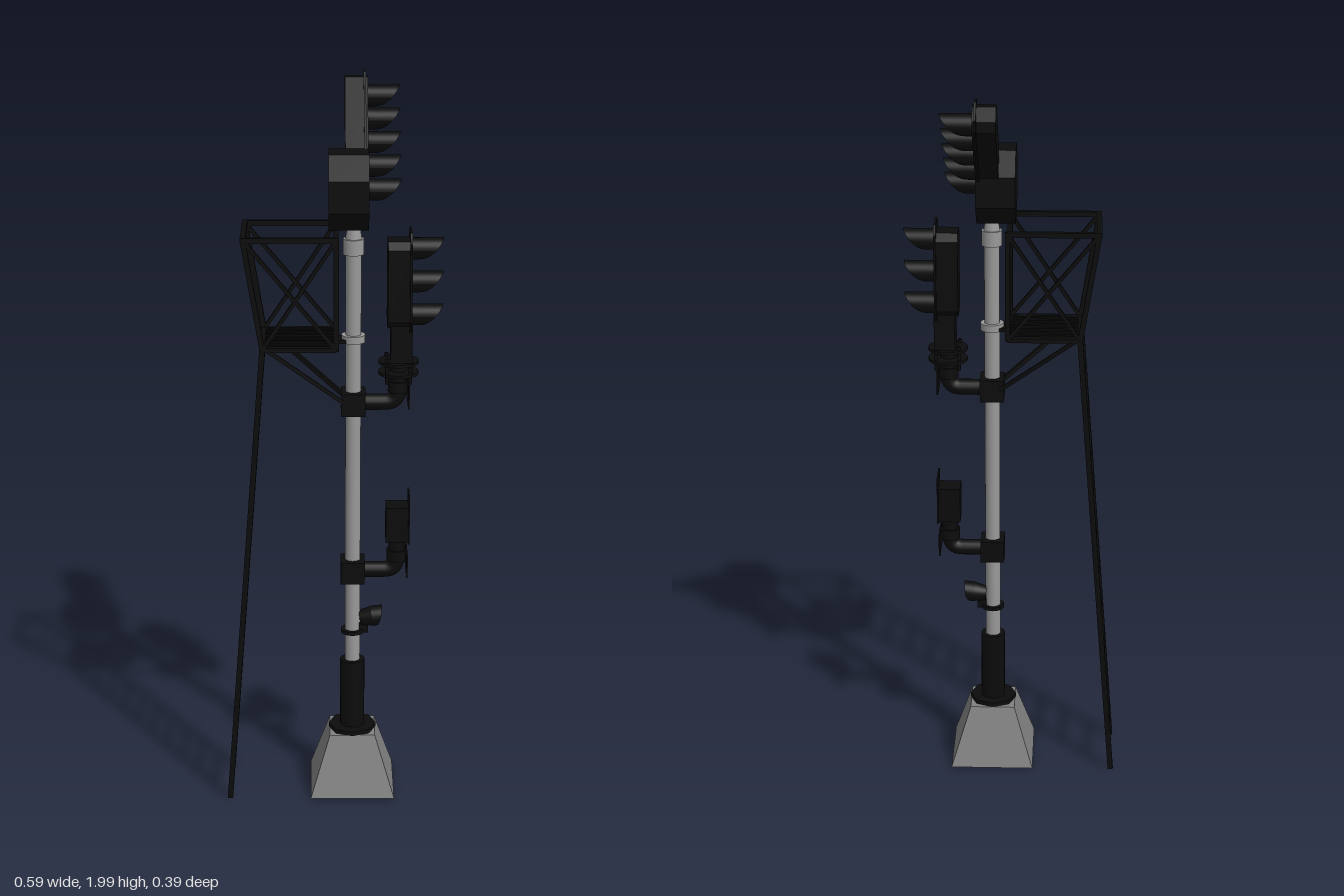
import * as THREE from 'three';

const black = new THREE.MeshStandardMaterial({ color: 0x0c0c0c });
const blackThin = new THREE.MeshStandardMaterial({ color: 0x0c0c0c, side: THREE.DoubleSide });
const steel = new THREE.MeshStandardMaterial({ color: 0x999999 });
const concrete = new THREE.MeshStandardMaterial({ color: 0x808080, flatShading: true });
const glass = new THREE.MeshStandardMaterial({ color: 0xcccccc });

const PX = 0.056, PZ = 0.083; // pole axis
const HX = 0.177;             // axis of the side-mounted units

function add(parent, name, geo, mat, x = 0, y = 0, z = 0) {
  const m = new THREE.Mesh(geo, mat);
  m.name = name;
  m.position.set(x, y, z);
  parent.add(m);
  return m;
}

const box = (parent, name, w, h, d, x, y, z, mat = black) =>
  add(parent, name, new THREE.BoxGeometry(w, h, d), mat, x, y, z);

// Upright cylinder between two heights
const post = (parent, name, r0, r1, y0, y1, x, z, mat = black, sides = 20) =>
  add(parent, name, new THREE.CylinderGeometry(r1, r0, y1 - y0, sides), mat, x, (y0 + y1) / 2, z);

// Square bar between two points
function bar(parent, name, a, b, t = 0.014) {
  const p = new THREE.Vector3(...a), q = new THREE.Vector3(...b);
  const m = add(parent, name, new THREE.BoxGeometry(t, t, p.distanceTo(q)), black);
  m.position.copy(p).add(q).multiplyScalar(0.5);
  m.lookAt(q);
  return m;
}

// Panel with chamfered corners facing +x, from x0 to x1, spanning y0..y1
function panel(parent, name, w, y0, y1, c, x0, x1) {
  const h = w / 2;
  const s = new THREE.Shape([
    [-h + c, y0], [h - c, y0], [h, y0 + c], [h, y1 - c],
    [h - c, y1], [-h + c, y1], [-h, y1 - c], [-h, y0 + c],
  ].map(p => new THREE.Vector2(...p)));
  const g = new THREE.ExtrudeGeometry(s, { depth: x1 - x0, bevelEnabled: false });
  g.rotateY(Math.PI / 2);
  return add(parent, name, g, black, x0);
}

// Hood: tube along +x whose lower side is cut back
function visorGeometry(r, len) {
  const g = new THREE.CylinderGeometry(r, r, 1, 28, 8, true);
  g.rotateZ(-Math.PI / 2);
  const p = g.attributes.position;
  for (let i = 0; i < p.count; i++) {
    const k = Math.max(0, (p.getY(i) / r + 1) / 2);
    p.setX(i, (p.getX(i) + 0.5) * len * (0.1 + 0.9 * Math.pow(k, 0.45)));
  }
  g.computeVertexNormals();
  return g;
}

// Lens with its hood, facing +x
function lamp(parent, x, y, z, r = 0.029, len = 0.086) {
  const g = new THREE.Group();
  g.name = 'lamp';
  g.position.set(x, y, z);
  add(g, 'visor', visorGeometry(r, len), blackThin);
  const lens = add(g, 'lens', new THREE.CylinderGeometry(r * 0.64, r * 0.64, 0.008, 24), glass, 0.004);
  lens.rotation.z = Math.PI / 2;
  parent.add(g);
  return g;
}

// Clamp on the pole with a pipe that bends upward
function elbowBracket(parent, y, top) {
  const g = new THREE.Group();
  g.name = 'elbowBracket';
  box(g, 'clamp', 0.066, 0.062, 0.076, PX, y, PZ);
  const path = new THREE.CurvePath();
  const V = (x, yy) => new THREE.Vector3(x, yy, PZ);
  path.add(new THREE.LineCurve3(V(PX, y), V(HX - 0.035, y)));
  path.add(new THREE.QuadraticBezierCurve3(V(HX - 0.035, y), V(HX, y), V(HX, y + 0.035)));
  path.add(new THREE.LineCurve3(V(HX, y + 0.035), V(HX, top)));
  add(g, 'pipe', new THREE.TubeGeometry(path, 36, 0.022, 16), black);
  post(g, 'pipeSocket', 0.028, 0.028, y + 0.03, y + 0.06, HX, PZ);
  box(g, 'markerPlate', 0.004, 0.065, 0.122, 0.204, y + 0.03, PZ);
  parent.add(g);
}

export function createModel() {
  const model = new THREE.Group();

  // Foundation and pole
  const base = add(model, 'foundation',
    new THREE.CylinderGeometry(0.063 * Math.SQRT2, 0.117 * Math.SQRT2, 0.17, 4, 1).rotateY(Math.PI / 4),
    concrete, PX, 0.095, 0.08);
  base.scale.z = 1.0;
  post(model, 'basePlate', 0.066, 0.066, 0.18, 0.192, PX, PZ, black, 8);
  post(model, 'poleSleeve', 0.034, 0.034, 0.19, 0.39, PX, PZ);
  post(model, 'pole', 0.021, 0.021, 0.38, 1.6, PX, PZ, steel);
  post(model, 'poleCollar', 0.028, 0.028, 1.555, 1.597, PX, PZ, steel);
  post(model, 'poleNeck', 0.022, 0.014, 1.597, 1.65, PX, PZ, steel);
  post(model, 'platformClamp', 0.032, 0.032, 1.315, 1.335, PX, PZ, steel);

  // Small marker lamp low on the pole
  post(model, 'markerLampClamp', 0.032, 0.032, 0.472, 0.482, PX, PZ);
  const marker = new THREE.Group();
  marker.name = 'markerLamp';
  marker.position.set(0.076, 0.515, PZ);
  marker.rotation.z = 0.12;
  add(marker, 'markerBody', new THREE.CylinderGeometry(0.028, 0.02, 0.034, 24).rotateZ(-Math.PI / 2), black, 0.017);
  add(marker, 'markerVisor', visorGeometry(0.028, 0.032), blackThin, 0.034);
  model.add(marker);
  box(model, 'markerLampBracket', 0.03, 0.03, 0.02, 0.085, 0.487, PZ);

  // Lower indicator box
  elbowBracket(model, 0.66, 0.76);
  box(model, 'indicatorBox', 0.062, 0.1, 0.066, HX, 0.8, PZ);
  box(model, 'indicatorFace', 0.004, 0.137, 0.08, 0.209, 0.816, PZ);

  // Three-lamp head on the upper bracket
  elbowBracket(model, 1.146, 1.28);
  const head = new THREE.Group();
  head.name = 'mainHead';
  head.position.z = PZ;
  panel(head, 'headBody', 0.1, 1.36, 1.595, 0.02, 0.146, 0.208);
  panel(head, 'headBackplate', 0.126, 1.35, 1.62, 0.025, 0.204, 0.21);
  box(head, 'headFoot', 0.058, 0.11, 0.074, 0.184, 1.315, 0);
  for (const y of [1.23, 1.26]) post(head, 'mountingDisc', 0.054, 0.054, y - 0.004, y + 0.004, HX, 0);
  for (let i = 0; i < 4; i++) {
    const a = Math.PI / 4 + i * Math.PI / 2;
    post(head, 'mountingBolt', 0.005, 0.005, 1.205, 1.275, HX + 0.044 * Math.cos(a), 0.044 * Math.sin(a), black, 8);
  }
  for (const y of [1.57, 1.48, 1.39]) lamp(head, 0.208, y, 0);
  model.add(head);

  // Octagonal top housing with an inclined row of five lamps
  const top = new THREE.Group();
  top.name = 'routeIndicator';
  top.position.set(0, 1.727, 0.081);
  panel(top, 'octagonHousing', 0.2, -0.1, 0.1, 0.0586, -0.01, 0.095);
  const arm = new THREE.Group();
  arm.name = 'inclinedArm';
  arm.rotation.x = -Math.PI / 4;
  panel(arm, 'armBody', 0.086, -0.03, 0.345, 0.02, 0.034, 0.095);
  panel(arm, 'armBackplate', 0.1, -0.03, 0.36, 0.022, 0.084, 0.09);
  for (let i = 0; i < 5; i++) {
    // hoods stay upright although the arm leans
    lamp(arm, 0.095, 0.074 * i, 0).rotation.x = Math.PI / 4;
  }
  top.add(arm);
  model.add(top);

  // Ladder
  const ladder = new THREE.Group();
  ladder.name = 'ladder';
  const ZM = 0.08, HALF = 0.1;
  const railX = y => -0.288 + 0.103 * y / 1.32;
  for (const s of [-1, 1]) bar(ladder, 'ladderRail', [railX(0.007), 0.007, ZM + s * HALF], [railX(1.32), 1.32, ZM + s * HALF], 0.015);
  for (let i = 1; i <= 10; i++) {
    const y = 0.12 * i;
    bar(ladder, 'ladderRung', [railX(y), y, ZM - HALF], [railX(y), y, ZM + HALF], 0.013);
  }
  model.add(ladder);

  // Platform with braced side railings
  const platform = new THREE.Group();
  platform.name = 'platform';
  const LOW = 1.32, HIGH = 1.615, XI = 0.01, XO = -0.185, XT = -0.233;
  for (const s of [-1, 1]) {
    const z = ZM + s * HALF;
    bar(platform, 'outerPost', [XO, LOW, z], [XT, HIGH, z]);
    bar(platform, 'innerPost', [XI, LOW, z], [XI, HIGH, z]);
    bar(platform, 'handrail', [XT - 0.006, HIGH, z], [XI + 0.006, HIGH, z]);
    bar(platform, 'floorBeam', [XO, LOW, z], [XI, LOW, z], 0.012);
    bar(platform, 'crossBrace', [XO, LOW, z], [XI, HIGH, z], 0.01);
    bar(platform, 'crossBrace', [XT, HIGH, z], [XI, LOW, z], 0.01);
    bar(platform, 'supportStrut', [XO + 0.01, LOW, z], [0.035, 1.15, PZ + s * 0.035], 0.011);
  }
  bar(platform, 'endHandrail', [XT, HIGH, ZM - HALF], [XT, HIGH, ZM + HALF]);
  for (const x of [XO, XI]) bar(platform, 'floorEnd', [x, LOW, ZM - HALF], [x, LOW, ZM + HALF], 0.012);
  for (let i = -4; i <= 4; i++) box(platform, 'floorSlat', XI - XO, 0.01, 0.012, (XI + XO) / 2, LOW, ZM + i * 0.0225);
  box(platform, 'poleTie', 0.06, 0.01, 0.05, 0.035, LOW, PZ);
  model.add(platform);

  return model;
}
